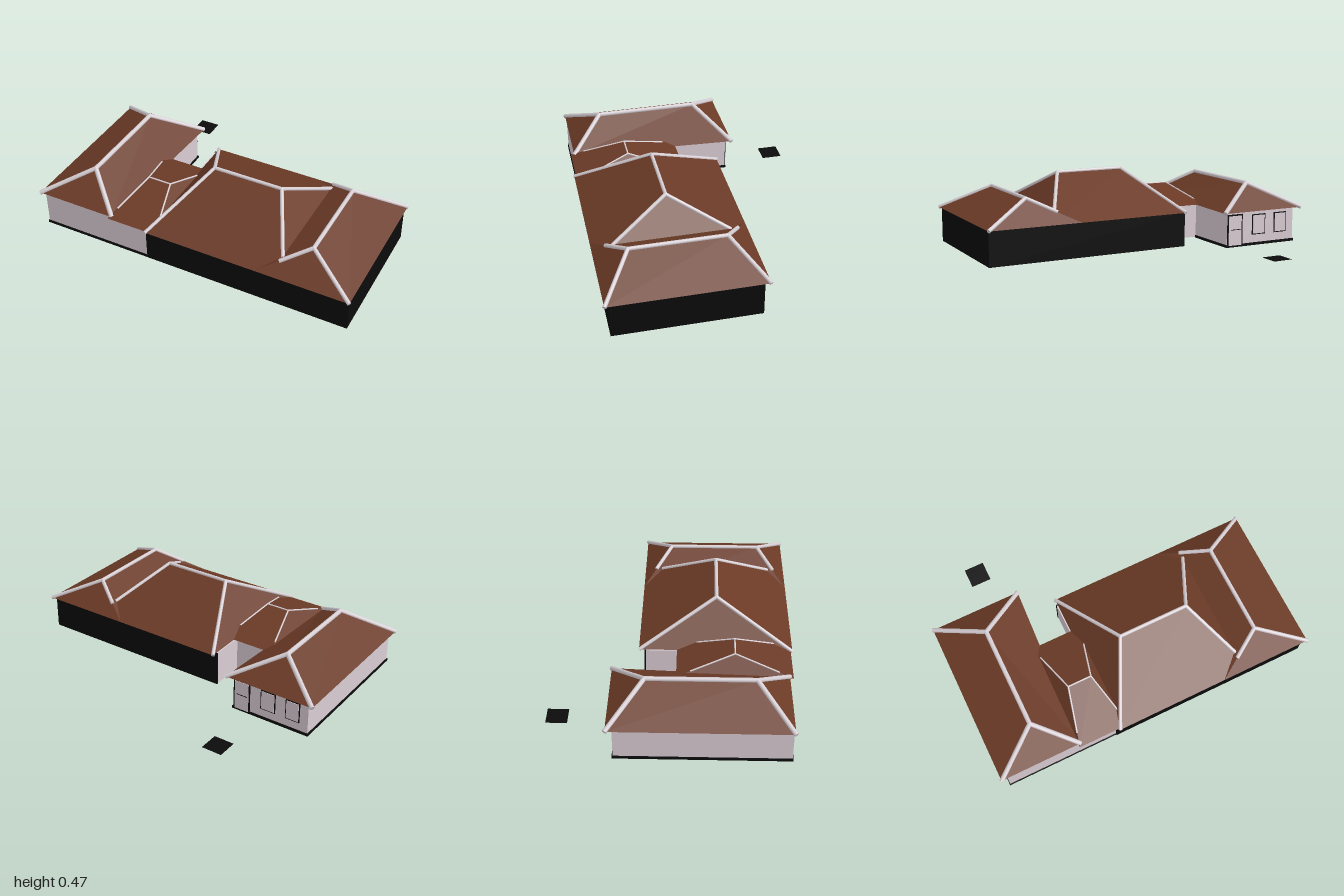
import * as THREE from 'three';

const mat = (name, color, side = THREE.FrontSide) => {
  const m = new THREE.MeshStandardMaterial({ color, side });
  m.name = name;
  return m;
};

export function createModel() {
  const house = new THREE.Group();
  house.name = 'house';
  const roofBrown = mat('roofBrown', 0x6b3a26);
  const wallWhite = mat('wallWhite', 0xdacdd4);
  const trimGrey = mat('trimGrey', 0xd6ced3);
  const black = mat('black', 0x0b0b0b, THREE.DoubleSide);

  const EAVE = 0.225;
  const add = (parent, name, geo, material) => {
    const m = new THREE.Mesh(geo, material);
    m.name = name;
    parent.add(m);
    return m;
  };

  // Box given by its minimum and maximum corners
  const box = (name, [x0, y0, z0], [x1, y1, z1], material) => {
    const m = add(house, name, new THREE.BoxGeometry(x1 - x0, y1 - y0, z1 - z0), material);
    m.position.set((x0 + x1) / 2, (y0 + y1) / 2, (z0 + z1) / 2);
    return m;
  };

  // Round capping bar between two points
  const bar = (parent, name, a, b, r) => {
    const m = add(parent, name, new THREE.CylinderGeometry(r, r, a.distanceTo(b), 10), trimGrey);
    m.position.copy(a).lerp(b, 0.5);
    m.quaternion.setFromUnitVectors(new THREE.Vector3(0, 1, 0), b.clone().sub(a).normalize());
  };

  // Hip roof: corners [x, z] run front left, front right, back right, back left as seen from
  // the front; the ridge runs left to right, or back to front when alongZ is set.
  // reach says how far each hip bar runs down towards its corner.
  const hipRoof = ({ name, corners, ridge, y, alongZ, r, reach = [1, 1, 1, 1] }) => {
    const g = new THREE.Group();
    g.name = name;
    house.add(g);
    const [fl, fr, br, bl] = corners.map(([x, z]) => new THREE.Vector3(x, EAVE, z));
    const [a, b] = ridge.map(([x, z]) => new THREE.Vector3(x, y, z));
    const faces = alongZ
      ? [[fl, fr, b], [fr, br, a, b], [br, bl, a], [bl, fl, b, a]]
      : [[fl, fr, b, a], [fr, br, b], [br, bl, a, b], [bl, fl, a]];
    faces.push([fl, bl, br, fr]); // flat soffit
    const points = [];
    for (const f of faces)
      for (let i = 1; i < f.length - 1; i++) points.push(f[0], f[i], f[i + 1]);
    const geo = new THREE.BufferGeometry().setFromPoints(points);
    geo.computeVertexNormals();
    add(g, 'roofSlopes', geo, roofBrown);
    // Ridge and hip capping
    bar(g, 'ridgeCap', a, b, r);
    const tops = alongZ ? [b, b, a, a] : [a, b, b, a];
    [fl, fr, br, bl].forEach((c, i) =>
      bar(g, 'hipCap', tops[i], tops[i].clone().lerp(c, reach[i]), r));
    for (const p of [a, b])
      add(g, 'capJoint', new THREE.SphereGeometry(r, 10, 8), trimGrey).position.copy(p);
  };

  // Roofs
  hipRoof({
    name: 'wingRoof', y: 0.368, alongZ: true, r: 0.014,
    corners: [[-0.995, 0.665], [-0.495, 0.665], [-0.44, -0.345], [-0.995, -0.345]],
    ridge: [[-0.718, -0.145], [-0.718, 0.467]],
  });
  hipRoof({
    name: 'linkRoof', y: 0.328, r: 0.005,
    corners: [[-0.51, 0.685], [-0.195, 0.685], [-0.195, 0.022], [-0.51, 0.022]],
    ridge: [[-0.425, 0.355], [-0.28, 0.355]],
    reach: [0.76, 0.72, 0.65, 0.76],
  });
  hipRoof({
    name: 'hallRoof', y: 0.458, r: 0.011,
    corners: [[-0.255, 0.695], [0.61, 0.695], [0.61, -0.2], [-0.255, -0.2]],
    ridge: [[-0.04, 0.25], [0.385, 0.25]],
    reach: [1, 0.75, 0.75, 1],
  });
  hipRoof({
    name: 'endRoof', y: 0.362, alongZ: true, r: 0.012,
    corners: [[0.43, 0.695], [0.99, 0.695], [0.99, -0.2], [0.43, -0.2]],
    ridge: [[0.705, -0.03], [0.705, 0.52]],
    reach: [0.57, 1, 1, 0.57],
  });

  // Wing with a floor and a dark plinth strip round its foot
  box('wingWalls', [-0.957, 0.01, -0.31], [-0.475, EAVE, 0.66], wallWhite);
  const plinth = (a, b) => box('plinth', a, b, black);
  plinth([-0.962, 0.01, 0.66], [-0.215, 0.026, 0.665]);
  plinth([-0.962, 0.01, -0.315], [-0.47, 0.026, -0.31]);
  plinth([-0.962, 0.01, -0.31], [-0.957, 0.026, 0.66]);
  plinth([-0.475, 0.01, -0.31], [-0.47, 0.026, 0.05]);

  // Link walls, open underneath
  box('linkFrontWall', [-0.475, 0.012, 0.65], [-0.262, EAVE, 0.66], wallWhite);
  box('linkBackWall', [-0.475, 0.015, 0.05], [-0.262, EAVE, 0.06], wallWhite);
  box('hallSideWall', [-0.262, 0.015, -0.16], [-0.252, EAVE, 0.06], wallWhite);

  // Dark hall walls, open underneath
  box('hallFrontWall', [-0.265, 0.015, 0.66], [0.98, EAVE, 0.67], black);
  box('hallBackWall', [-0.265, 0.015, -0.168], [0.98, EAVE, -0.16], black);
  box('hallEndWall', [0.97, 0.015, -0.16], [0.98, EAVE, 0.66], black);

  // Framed panels on the back of the wing
  const framed = (name, x0, x1, y0, y1, t) => {
    box(name + 'Frame', [x0, y0, -0.314], [x1, y1, -0.31], black);
    box(name + 'Pane', [x0 + t, y0 + t, -0.317], [x1 - t, y1 - t, -0.31], wallWhite);
  };
  framed('window', -0.905, -0.815, 0.075, 0.2, 0.006);
  framed('window', -0.75, -0.655, 0.075, 0.2, 0.006);
  framed('door', -0.585, -0.477, 0.012, 0.21, 0.009);
  box('doorRail', [-0.57, 0.115, -0.318], [-0.5, 0.119, -0.316], black);

  // Loose ground panel behind the wing
  const panel = add(house, 'groundPanel', new THREE.PlaneGeometry(0.124, 0.124), black);
  panel.rotation.x = -Math.PI / 2;
  panel.position.set(-0.6, 0, -0.652);

  return house;
}
